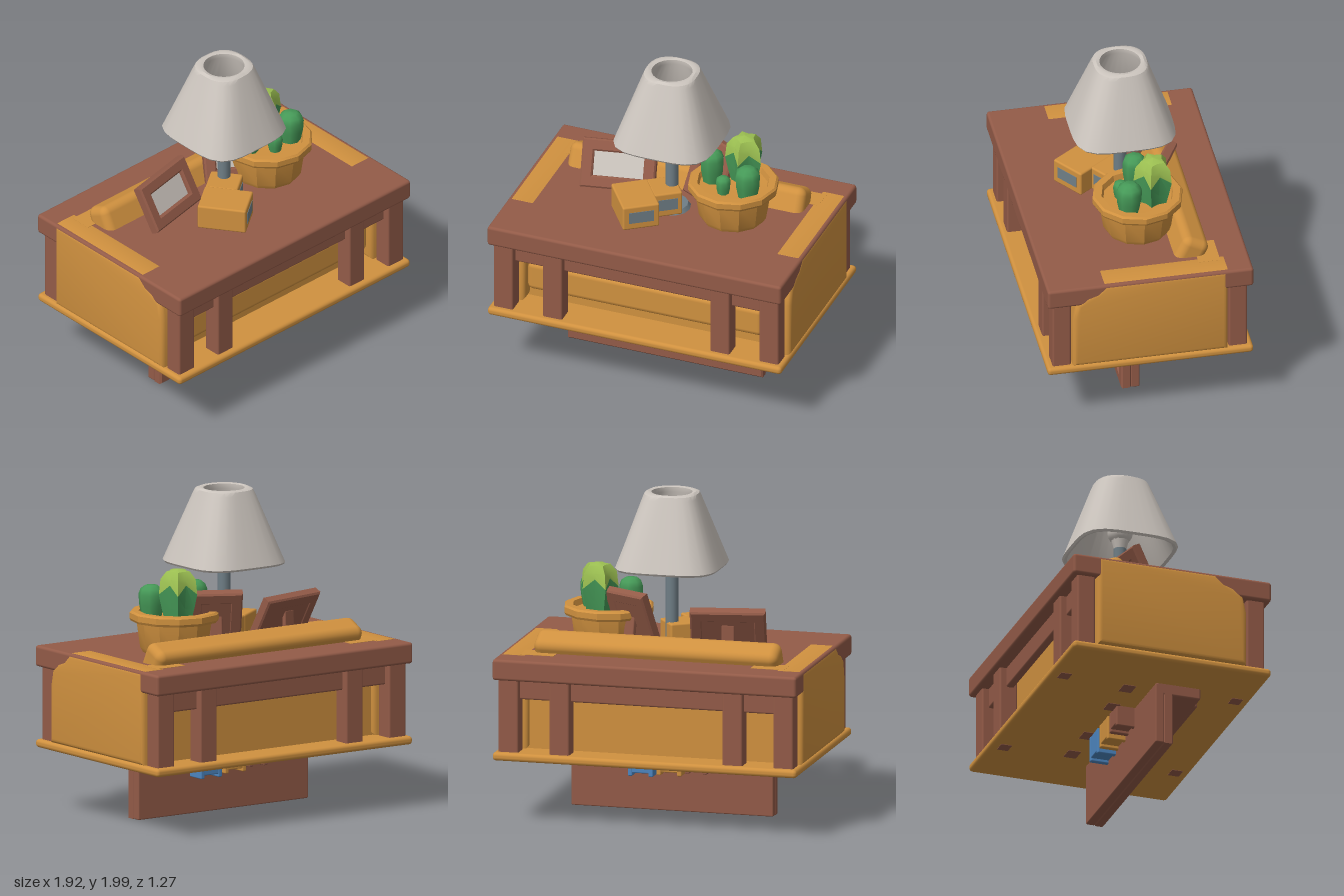
import * as THREE from 'three';
import { toCreasedNormals } from 'three/addons/utils/BufferGeometryUtils.js';
import { RoundedBoxGeometry } from 'three/addons/geometries/RoundedBoxGeometry.js';

const mat = (name, color, side = THREE.FrontSide) => {
  const m = new THREE.MeshStandardMaterial({ color, side });
  m.name = name;
  return m;
};

export function createModel() {
  const model = new THREE.Group();
  model.name = 'furnitureStack';
  const wood = mat('brownWood', 0x935b48);
  const tan = mat('tan', 0xd0913f, THREE.DoubleSide);
  const linen = mat('linenGrey', 0xccc5be);
  const steel = mat('steelGrey', 0x6f7e86);
  const blue = mat('blue', 0x4d86c0);
  const green = mat('cactusGreen', 0x469a58, THREE.DoubleSide);
  const lime = mat('limeGreen', 0x9dc152, THREE.DoubleSide);

  const add = (name, geo, material, x = 0, y = 0, z = 0, parent = model) => {
    const m = new THREE.Mesh(geo, material);
    m.name = name;
    m.position.set(x, y, z);
    parent.add(m);
    return m;
  };
  // Box given by its limits, with softened edges
  const box = (name, material, [x0, x1], [y0, y1], [z0, z1], r = 0.012, parent = model) => {
    const w = x1 - x0, h = y1 - y0, d = z1 - z0;
    const geo = r ? new RoundedBoxGeometry(w, h, d, 2, Math.min(r, w / 2.1, h / 2.1, d / 2.1))
      : new THREE.BoxGeometry(w, h, d);
    return add(name, geo, material, (x0 + x1) / 2, (y0 + y1) / 2, (z0 + z1) / 2, parent);
  };
  const rectPath = (path, x0, x1, y0, y1) =>
    path.moveTo(x0, y0).lineTo(x1, y0).lineTo(x1, y1).lineTo(x0, y1).closePath();

  // Table: top, lower board, posts and rails
  box('tableTop', wood, [-0.957, 0.957], [0.9, 1.03], [-0.637, 0.637], 0.018);
  box('lowerBoard', tan, [-0.957, 0.957], [0.4, 0.452], [-0.637, 0.637], 0.022);
  for (const s of [-1, 1]) {
    for (const px of [-0.865, -0.545, 0.545, 0.865]) {
      box('post', wood, [px - 0.063, px + 0.063], [0.43, 0.92], [s * 0.545 - 0.057, s * 0.545 + 0.057]);
      if (Math.abs(px) < 0.6)
        box('postFoot', wood, [px - 0.04, px + 0.04], [0.397, 0.44], [s * 0.55 - 0.035, s * 0.55 + 0.035], 0);
    }
    box('rail', wood, [-0.85, 0.85], [0.775, 0.91], [s * 0.535 - 0.025, s * 0.535 + 0.025]);
  }
  for (const px of [-0.5, -0.22, 0.22, 0.5])
    box('innerLeg', wood, [px - 0.05, px + 0.05], [0.397, 0.9], [-0.17, -0.09], 0);
  box('innerRail', wood, [-0.6, 0.6], [0.755, 0.85], [-0.16, -0.1]);

  // Sofa: shaped arms, base, back and cushions
  const arm = new THREE.Shape();
  [[0.45, 0.48], [0.45, 0.8], [0.43, 0.89], [0.38, 0.935], [0.32, 0.955], [0.27, 1.001], [-0.45, 1.001], [-0.45, 0.48]]
    .forEach(([z, y], i) => (i ? arm.lineTo(-z, y) : arm.moveTo(-z, y)));
  arm.closePath();
  const armGeo = toCreasedNormals(new THREE.ExtrudeGeometry(arm, {
    depth: 0.13, bevelEnabled: true, bevelThickness: 0.03, bevelSize: 0.03, bevelSegments: 3,
  }).rotateY(Math.PI / 2), 0.6);
  for (const s of [-1, 1]) {
    add('sofaArm', armGeo, tan, s < 0 ? -0.93 : 0.8);
    const c = s * 0.725;
    box('sofaBackCorner', tan, [c - 0.105, c + 0.105], [0.8, 1.032], [-0.455, -0.32], 0);
    const p = add('bluePillow', new THREE.SphereGeometry(0.13, 12, 8), blue, s * 0.665, 0.81, 0.2);
    p.scale.set(0.9, 0.8, 0.6);
  }
  box('sofaBase', tan, [-0.8, 0.8], [0.44, 0.54], [-0.45, 0.4]);
  box('sofaBack', tan, [-0.8, 0.8], [0.44, 1.0], [-0.455, -0.32]);
  box('seatCushion', tan, [-0.768, 0.768], [0.525, 0.717], [-0.3, 0.46], 0.035);
  add('backCushion', new RoundedBoxGeometry(1.535, 0.44, 0.175, 3, 0.05), tan, 0, 0.935, -0.24).rotation.x = -0.46;
  add('bowl', new THREE.CylinderGeometry(0.14, 0.08, 0.11, 10), tan, 0, 0.775, 0.2);

  // Low shelf under the board: framed front with three pale panels
  const front = rectPath(new THREE.Shape(), -0.625, 0.625, 0.018, 0.39);
  const openings = [[-0.575, -0.315], [-0.255, 0.255], [0.315, 0.575]];
  for (const [a, b] of openings) {
    front.holes.push(rectPath(new THREE.Path(), a, b, 0.065, 0.34));
    box('palePanel', linen, [a - 0.01, b + 0.01], [0.055, 0.35], [0.055, 0.065], 0);
  }
  add('shelfFrame', new THREE.ExtrudeGeometry(front, {
    depth: 0.045, bevelEnabled: true, bevelThickness: 0.01, bevelSize: 0.01, bevelSegments: 1,
  }), wood, 0, 0, 0.065);
  box('shelfBack', wood, [-0.635, 0.635], [0.008, 0.4], [0.005, 0.06], 0.008);
  box('shelfLedge', wood, [-0.635, 0.635], [0.33, 0.41], [0.01, 0.295]);
  box('ledgeFront', wood, [-0.52, 0.52], [0.332, 0.41], [0.2, 0.315]);
  box('bookRack', wood, [-0.22, 0.22], [0.255, 0.34], [0.07, 0.112]);

  // Books hanging through the shelf
  const bookColours = [wood, tan, wood, tan, wood, tan, blue, blue];
  bookColours.forEach((m, i) => {
    const x = -0.25 + i * 0.0625;
    box('bookFront', m, [x + 0.004, x + 0.054], [0.235, 0.4], [0.06, 0.09], 0.006);
  });
  [[wood, -0.25, -0.11, 0.27], [tan, -0.09, 0.07, 0.25], [blue, 0.09, 0.25, 0.235]].forEach(([m, a, b, y]) => {
    box('book', m, [a, b], [y + 0.02, 0.41], [-0.108, 0.02], 0.008);
    for (const e of [a, b - 0.03]) box('bookCover', m, [e, e + 0.03], [y, 0.41], [-0.11, 0.02], 0.008);
  });

  // Picture frames leaning back on struts
  const pictureFrame = (w, h, pos, tilt, yaw) => {
    const g = new THREE.Group();
    g.name = 'pictureFrame';
    const s = rectPath(new THREE.Shape(), -w / 2 + 0.01, w / 2 - 0.01, -h / 2 + 0.01, h / 2 - 0.01);
    s.holes.push(rectPath(new THREE.Path(), -w / 2 + 0.065, w / 2 - 0.065, -h / 2 + 0.065, h / 2 - 0.065));
    add('frameBorder', new THREE.ExtrudeGeometry(s, {
      depth: 0.045, bevelEnabled: true, bevelThickness: 0.01, bevelSize: 0.01, bevelSegments: 1,
    }), wood, 0, 0, -0.025, g);
    box('frameBack', wood, [-w / 2 + 0.02, w / 2 - 0.02], [-h / 2 + 0.02, h / 2 - 0.02], [-0.03, -0.005], 0, g);
    box('picture', linen, [-w / 2 + 0.05, w / 2 - 0.05], [-h / 2 + 0.05, h / 2 - 0.05], [-0.004, 0.004], 0, g);
    const strut = box('strut', wood, [-0.04, 0.04], [-h * 0.48, h * 0.2], [-0.08, -0.05], 0.008, g);
    strut.rotation.x = 0.5;
    g.rotation.set(-tilt, yaw, 0, 'YXZ');
    g.position.set(...pos);
    model.add(g);
  };
  pictureFrame(0.46, 0.3, [-0.38, 1.182, -0.09], 0.48, 0.2);
  pictureFrame(0.32, 0.4, [0.19, 1.225, -0.17], 0.38, -0.5);

  // Small clock made of two angled blocks with screens
  const clock = (w, d, x, z) => {
    const g = new THREE.Group();
    g.name = 'clock';
    box('clockBody', tan, [-w / 2, w / 2], [1.03, 1.19], [-d / 2, d / 2], 0.012, g);
    box('clockScreen', steel, [-w * 0.34, w * 0.34], [1.075, 1.15], [d / 2 - 0.004, d / 2 + 0.003], 0, g);
    g.position.set(x, 0, z);
    g.rotation.y = 0.62;
    model.add(g);
  };
  clock(0.23, 0.3, -0.165, 0.19);
  clock(0.18, 0.2, -0.035, 0.04);

  // Lamp: pole, bulb and a shade lofted from rounded squares to a near circle
  add('lampPole', new THREE.CylinderGeometry(0.04, 0.04, 0.56, 12), steel, 0, 1.31, 0);
  add('lampBase', new THREE.CylinderGeometry(0.1, 0.12, 0.03, 12), steel, 0, 1.04, 0);
  add('bulbSocket', new THREE.CylinderGeometry(0.055, 0.04, 0.06, 12), linen, 0, 1.6, 0);
  add('bulb', new THREE.SphereGeometry(0.078, 14, 10), linen, 0, 1.68, 0);
  const rings = [[0.29, 4, 1.54], [0.308, 4, 1.532], [0.317, 4, 1.545], [0.172, 2.8, 1.965], [0.163, 2.6, 1.99],
    [0.145, 2.2, 2.0], [0.125, 2, 1.995], [0.125, 2, 1.965], [0.29, 4, 1.54]];
  const N = 32, pos = [], idx = [];
  rings.forEach(([r, n, y], i) => {
    for (let j = 0; j < N; j++) {
      const t = (j / N) * Math.PI * 2, c = Math.cos(t), s = Math.sin(t);
      const k = r / Math.pow(Math.abs(c) ** n + Math.abs(s) ** n, 1 / n);
      pos.push(k * c, y, k * s);
      if (i === rings.length - 1) continue;
      const a = i * N + j, b = i * N + (j + 1) % N;
      idx.push(a, a + N, b, b, a + N, b + N);
    }
  });
  const shade = new THREE.BufferGeometry();
  shade.setAttribute('position', new THREE.Float32BufferAttribute(pos, 3));
  shade.setIndex(idx);
  add('lampShade', toCreasedNormals(shade, 0.7), linen);

  // Plant pot with a thick rim
  const lathe = (pts, n) => new THREE.LatheGeometry(pts.map(([r, y]) => new THREE.Vector2(r, y)), n);
  add('plantPot', toCreasedNormals(lathe([[0, 1.03], [0.195, 1.03], [0.212, 1.06], [0.235, 1.22], [0.27, 1.225],
    [0.278, 1.24], [0.278, 1.275], [0.266, 1.286], [0.222, 1.286], [0.212, 1.25], [0, 1.24]], 12), 0.45),
    tan, 0.388, 0, -0.03);

  // Tall ribbed cactus: alternate columns pulled in, with a zigzag lime cap
  const ribbed = (pts, seamRow) => {
    const geo = lathe(pts, 10), p = geo.attributes.position;
    for (let i = 0; i < p.count; i++) {
      const col = Math.floor(i / pts.length), valley = col % 2;
      if (valley) { p.setX(i, p.getX(i) * 0.68); p.setZ(i, p.getZ(i) * 0.68); }
      if (i % pts.length === seamRow) p.setY(i, p.getY(i) + (valley ? 0.035 : -0.025));
    }
    return toCreasedNormals(geo, 0.5);
  };
  add('tallCactus', ribbed([[0.085, 1.24], [0.105, 1.32], [0.123, 1.43]], 2), green, 0.43, 0, -0.12);
  add('tallCactusCap', ribbed([[0.123, 1.43], [0.112, 1.5], [0.075, 1.545], [0, 1.56]], 0), lime, 0.43, 0, -0.12);

  // Small rounded cacti
  [[0.245, -0.04, 0.075, 1.46], [0.51, 0.045, 0.08, 1.445], [0.36, 0.068, 0.047, 1.36]].forEach(([x, z, r, top]) =>
    add('smallCactus', lathe([[r * 0.75, 1.24], [r * 0.95, 1.24 + (top - 1.24) * 0.4], [r, top - r * 0.75],
      [r * 0.85, top - r * 0.32], [r * 0.5, top - r * 0.06], [0, top]], 8), green, x, 0, z));

  return model;
}
